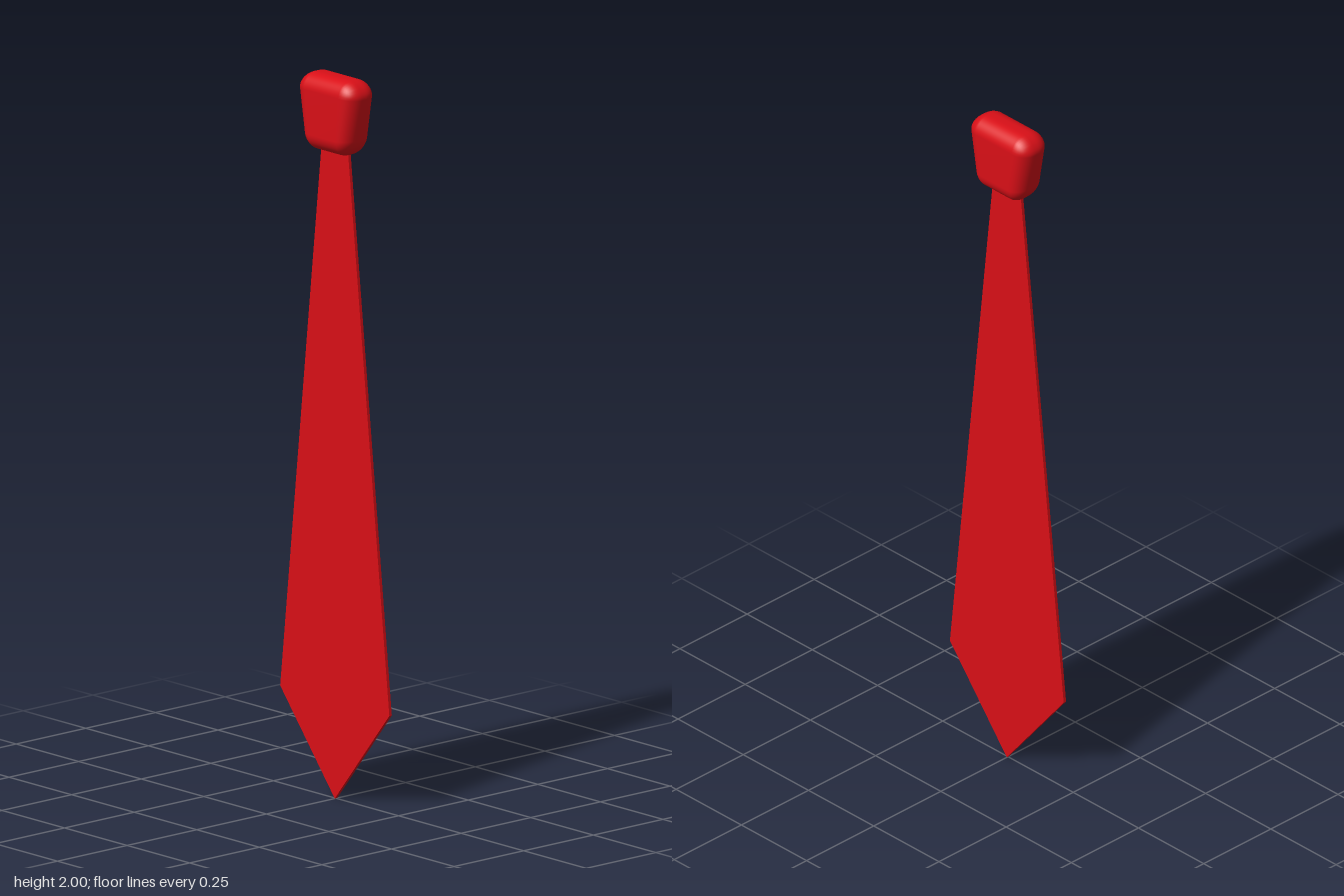
import * as THREE from 'three';
import { RoundedBoxGeometry } from 'three/addons/geometries/RoundedBoxGeometry.js';
import { mergeVertices } from 'three/addons/utils/BufferGeometryUtils.js';

const red = new THREE.MeshStandardMaterial({ color: 0xd90f17 });

// Flat blade: widens downward, then comes to a point
function createBlade() {
  const outline = [[0, 0], [0.218, 0.27], [0.048, 1.84], [-0.048, 1.84], [-0.218, 0.27]];
  const shape = new THREE.Shape(outline.map(([x, y]) => new THREE.Vector2(x, y)));
  const depth = 0.009;
  const geometry = new THREE.ExtrudeGeometry(shape, { depth, bevelEnabled: false });
  geometry.translate(0, 0, -depth / 2);
  const blade = new THREE.Mesh(geometry, red);
  blade.name = 'blade';
  return blade;
}

// Soft pillow-like knot, narrower at the bottom and slightly domed on top
function createKnot() {
  const height = 0.215;
  let geometry = new RoundedBoxGeometry(0.228, height, 0.107, 5, 0.046);
  const p = geometry.attributes.position;
  for (let i = 0; i < p.count; i++) {
    const x = p.getX(i), y = p.getY(i);
    const down = Math.min(1, Math.max(0, (0.075 - y) / (height / 2 + 0.075)));
    p.setX(i, x * (1 - 0.3 * Math.pow(down, 1.15)));
    if (y > 0) p.setY(i, y - 0.9 * x * x * (y / (height / 2)));
  }
  // Weld the faces so the shading stays smooth
  geometry.deleteAttribute('normal');
  geometry.deleteAttribute('uv');
  geometry = mergeVertices(geometry, 1e-5);
  geometry.computeVertexNormals();
  const knot = new THREE.Mesh(geometry, red);
  knot.name = 'knot';
  knot.position.y = 2 - height / 2;
  return knot;
}

export function createModel() {
  const necktie = new THREE.Group();
  necktie.name = 'necktie';
  necktie.add(createBlade(), createKnot());
  return necktie;
}
